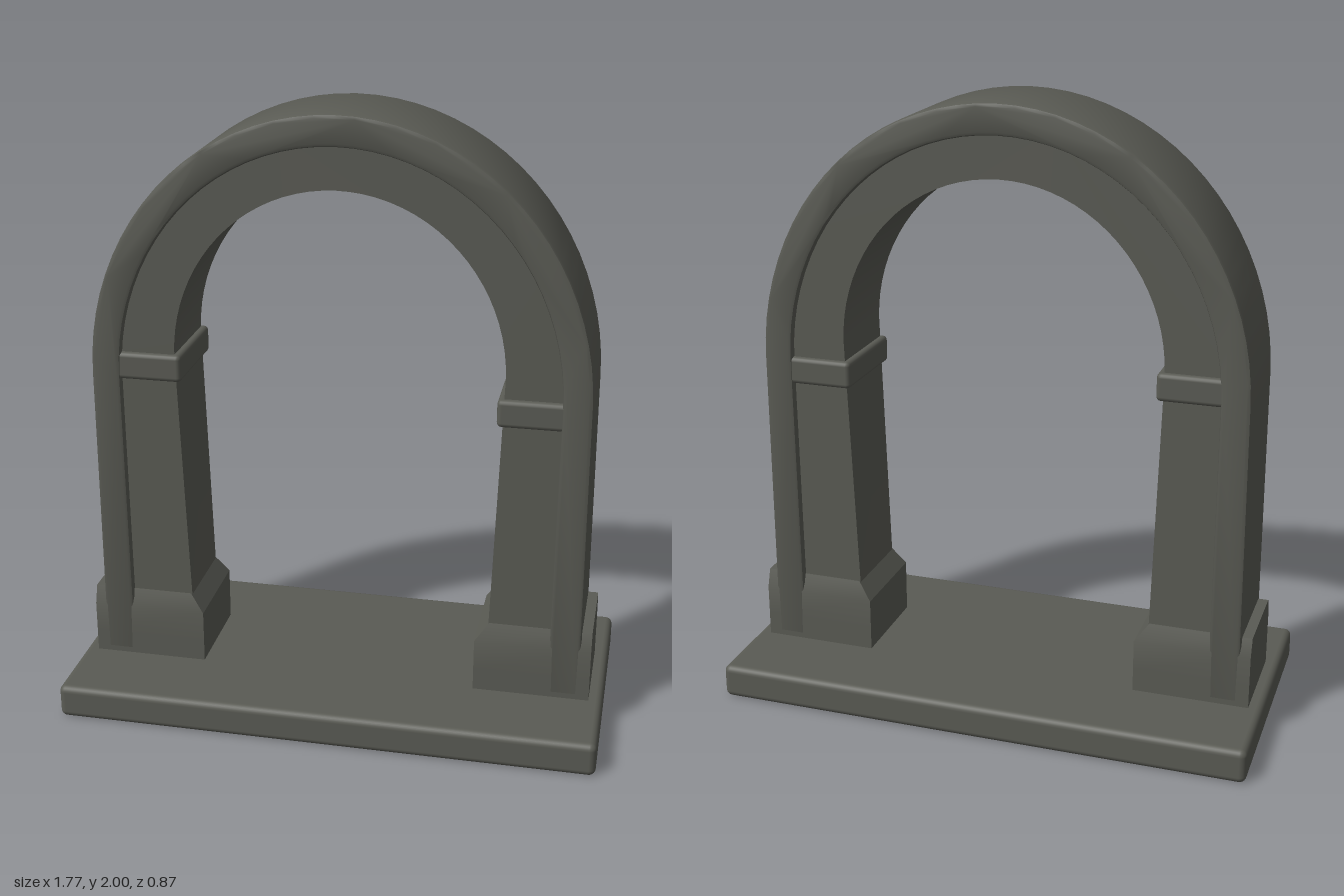
import * as THREE from 'three';
import { toCreasedNormals } from 'three/addons/utils/BufferGeometryUtils.js';
import { RoundedBoxGeometry } from 'three/addons/geometries/RoundedBoxGeometry.js';

const stone = new THREE.MeshStandardMaterial({ color: 0x5a5b54 });
stone.name = 'dark stone';

function part(name, geometry, x = 0, y = 0, z = 0) {
  const mesh = new THREE.Mesh(geometry, stone);
  mesh.name = name;
  mesh.position.set(x, y, z);
  return mesh;
}

// Half ellipse from the right spring point over the crown to the left one
function archCurve(rx, ry, springY, steps = 40) {
  return Array.from({ length: steps + 1 }, (_, i) => {
    const a = (Math.PI * i) / steps;
    return new THREE.Vector2(rx * Math.cos(a), springY + ry * Math.sin(a));
  });
}

// Extruded arch with legs, slightly deeper towards the crown
function archGeometry(outer, inner, footY, depth, bevel, crownDepth) {
  const shape = new THREE.Shape([
    new THREE.Vector2(outer.foot, footY),
    ...archCurve(outer.rx, outer.ry, outer.y),
    new THREE.Vector2(-outer.foot, footY),
    new THREE.Vector2(-inner.foot, footY),
    ...archCurve(inner.rx, inner.ry, inner.y).reverse(),
    new THREE.Vector2(inner.foot, footY),
  ]);
  const g = new THREE.ExtrudeGeometry(shape, {
    depth: depth - 2 * bevel, bevelEnabled: bevel > 0, bevelThickness: bevel,
    bevelSize: bevel, bevelOffset: -bevel, bevelSegments: 2,
  });
  g.translate(0, 0, bevel - depth / 2);
  const p = g.attributes.position;
  for (let i = 0; i < p.count; i++) {
    const t = THREE.MathUtils.clamp((p.getY(i) - footY) / (2 - footY), 0, 1);
    p.setZ(i, p.getZ(i) * (1 + (crownDepth / depth - 1) * t));
  }
  return toCreasedNormals(g, 0.6);
}

// Pedestal block whose top slopes in to the pillar; side is +1 or -1
function plinthGeometry(side) {
  const g = new THREE.BoxGeometry(0.38, 0.24, 0.33, 1, 3, 1);
  const p = g.attributes.position;
  for (let i = 0; i < p.count; i++) {
    const y = p.getY(i);
    if (y > 0.1) {
      if (p.getX(i) * side < 0) p.setX(i, p.getX(i) + side * 0.045);
      p.setZ(i, p.getZ(i) * 0.88);
    } else if (y > 0) {
      p.setY(i, 0.06);
    }
  }
  return toCreasedNormals(g, 0.4);
}

export function createModel() {
  const group = new THREE.Group();
  group.name = 'archway';

  // Floor slab
  group.add(part('base', new RoundedBoxGeometry(1.77, 0.113, 0.872, 3, 0.022), 0, 0.0565, 0));

  // Raised outer band
  group.add(part('outerBand', archGeometry(
    { foot: 0.808, rx: 0.803, ry: 0.87, y: 1.13 },
    { foot: 0.705, rx: 0.708, ry: 0.77, y: 1.13 },
    0.12, 0.33, 0.012, 0.362)));

  // Recessed inner arch with its two pillars
  group.add(part('innerArch', archGeometry(
    { foot: 0.76, rx: 0.76, ry: 0.82, y: 1.13 },
    { foot: 0.495, rx: 0.53, ry: 0.565, y: 1.2 },
    0.12, 0.28, 0, 0.312)));

  // Plinths and capitals; the two capitals sit at different heights
  for (const side of [1, -1]) {
    const label = side > 0 ? 'left' : 'right';
    group.add(part(label + 'Plinth', plinthGeometry(side), side * 0.65, 0.23, 0));
    group.add(part(label + 'Capital', new RoundedBoxGeometry(0.22, 0.09, 0.335, 2, 0.015),
      side * 0.617, side > 0 ? 1.09 : 1.16, 0));
  }
  return group;
}
